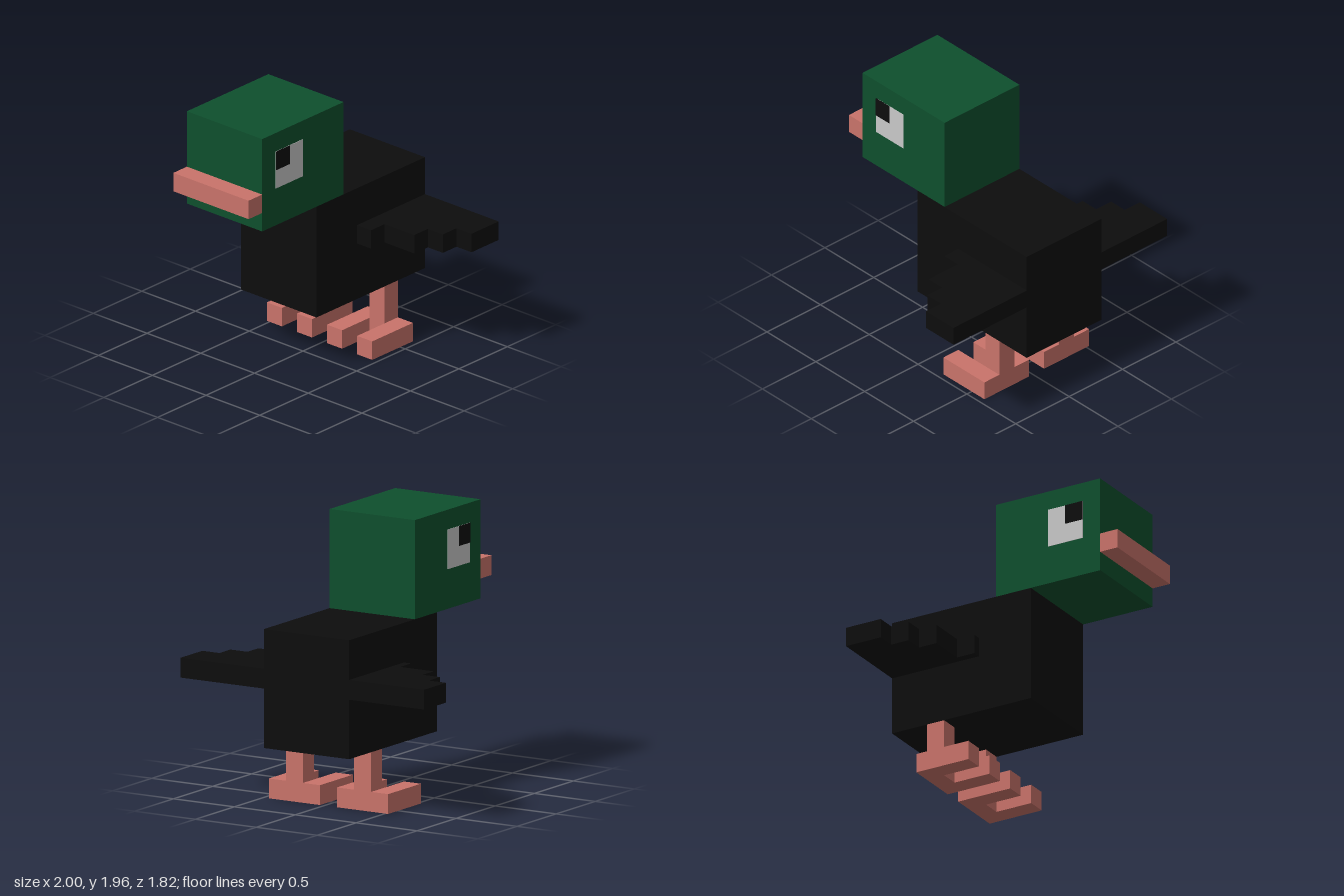
import * as THREE from 'three';

const material = (name, color) => {
  const m = new THREE.MeshStandardMaterial({ color });
  m.name = name;
  return m;
};

export function createModel() {
  const green = material('headGreen', 0x0e4f2d);
  const black = material('featherBlack', 0x0d0d0d);
  const pink = material('beakPink', 0xc9736a);
  const white = material('eyeWhite', 0xc8c8c8);

  const model = new THREE.Group();
  model.name = 'bird';

  // Box given by its extents along x, y and z
  function block(name, mat, [x0, x1], [y0, y1], [z0, z1], parent = model) {
    const mesh = new THREE.Mesh(new THREE.BoxGeometry(x1 - x0, y1 - y0, z1 - z0), mat);
    mesh.position.set((x0 + x1) / 2, (y0 + y1) / 2, (z0 + z1) / 2);
    mesh.name = name;
    parent.add(mesh);
    return mesh;
  }

  const u = 0.14; // block unit
  const cx = -0.035; // the body sits slightly off the wing centre
  const half = 0.35;
  const width = [cx - half, cx + half];

  // Trunk, head and beak
  block('body', black, width, [0.42, 1.26], [-0.91, 0.21]);
  block('head', green, width, [1.26, 1.96], [-0.07, 0.77]);
  block('beak', pink, width, [1.4, 1.54], [0.77, 0.91]);

  for (const side of [1, -1]) {
    const label = side > 0 ? 'left' : 'right';

    // Eye: thin plate with a pupil in its upper front corner
    const face = cx + side * half;
    const plate = (t) => [face, face + side * t].sort((a, b) => a - b);
    block(label + 'EyeWhite', white, plate(0.003), [1.54, 1.82], [0.35, 0.63]);
    block(label + 'Pupil', black, plate(0.006), [1.68, 1.82], [0.49, 0.63]);

    // Wing: flat slab with a stepped leading edge
    const edge = [[1, -0.63], [0.86, -0.49], [0.72, -0.35], [0.445, -0.21]];
    const root = Math.abs(face);
    const outline = new THREE.Shape();
    outline.moveTo(side * root, 0.91);
    outline.lineTo(side, 0.91);
    edge.forEach(([x, z], i) => {
      outline.lineTo(side * x, -z);
      outline.lineTo(side * (i < 3 ? edge[i + 1][0] : root), -z);
    });
    outline.closePath();
    const wing = new THREE.Mesh(
      new THREE.ExtrudeGeometry(outline, { depth: u, bevelEnabled: false }), black);
    wing.rotation.x = -Math.PI / 2;
    wing.position.y = 0.84;
    wing.name = label + 'Wing';
    model.add(wing);

    // Leg standing on a heel bar with two toes
    const leg = new THREE.Group();
    leg.name = label + 'Leg';
    leg.position.x = cx + side * 2 * u;
    model.add(leg);
    block('shin', pink, [-u / 2, u / 2], [u, 3 * u], [-0.63, -0.49], leg);
    block('heel', pink, [-1.5 * u, 1.5 * u], [0, u], [-0.63, -0.49], leg);
    for (const s of [-1, 1]) {
      block('toe', pink, [s * u - u / 2, s * u + u / 2], [0, u], [-0.49, -0.21], leg);
    }
  }
  return model;
}
